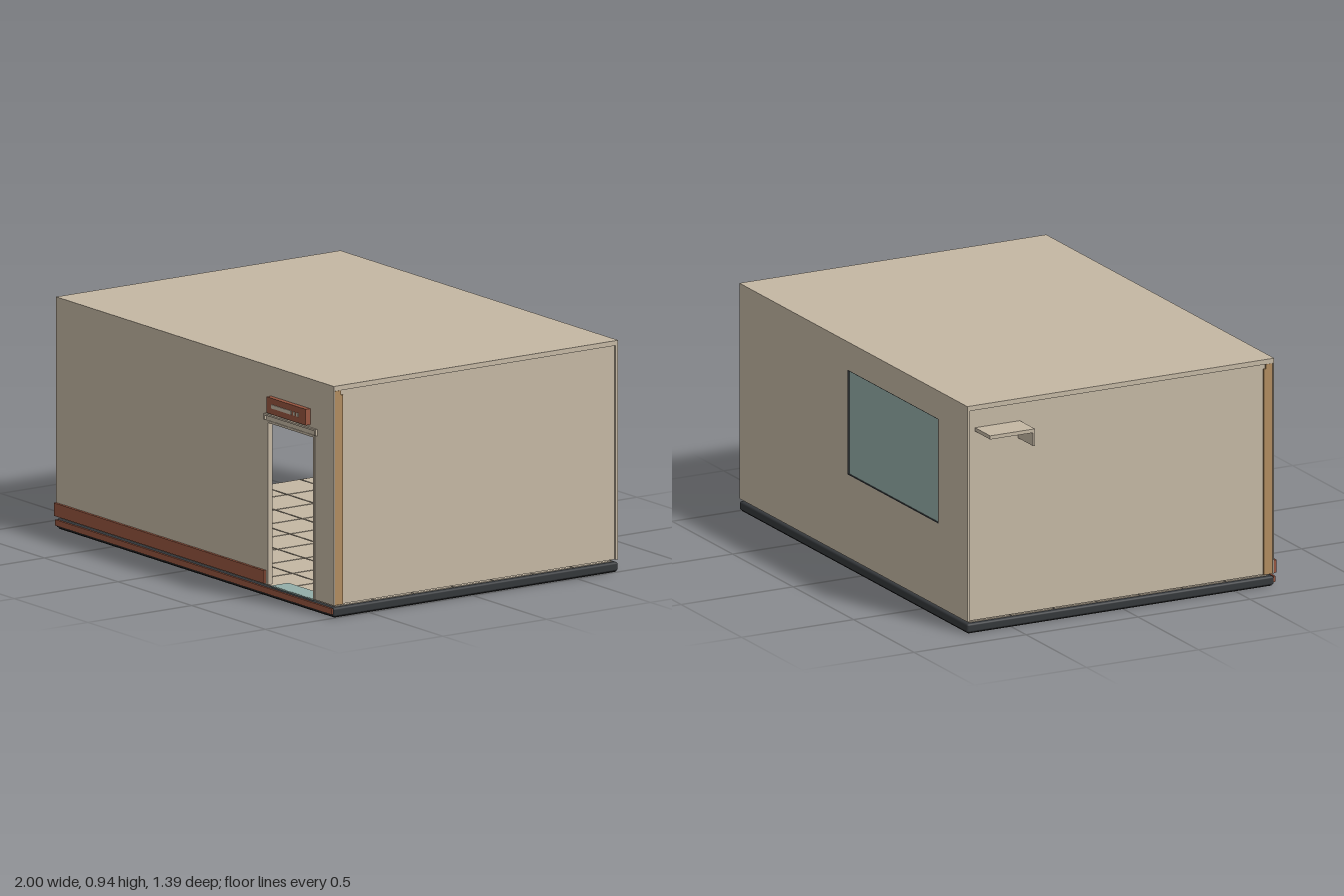
import * as THREE from 'three';
import { RoundedBoxGeometry } from 'three/addons/geometries/RoundedBoxGeometry.js';

const material = (name, color) => {
  const m = new THREE.MeshStandardMaterial({ color });
  m.name = name;
  return m;
};

export function createModel() {
  const model = new THREE.Group();
  const cream = material('cream plaster', 0xc4b7a3);
  const red = material('brick red', 0x96553f);
  const teal = material('teal glass', 0x93aea8);
  const dark = material('charcoal', 0x34373a);
  const black = material('underside black', 0x1e1e1e);
  const wood = material('wood', 0xb08b5f);

  const X0 = -0.885, X1 = 1, Z0 = -0.7, Z1 = 0.67, Y0 = 0.05, Y1 = 0.935;
  const midX = (X0 + X1) / 2, midZ = (Z0 + Z1) / 2;
  const inset = 0.01;

  const add = (name, geometry, mat, parent = model) => {
    const mesh = new THREE.Mesh(geometry, mat);
    mesh.name = name;
    parent.add(mesh);
    return mesh;
  };
  // Box given by its two extremes on every axis
  const box = (name, mat, x0, x1, y0, y1, z0, z1, parent = model) => {
    const mesh = add(name, new THREE.BoxGeometry(x1 - x0, y1 - y0, z1 - z0), mat, parent);
    mesh.position.set((x0 + x1) / 2, (y0 + y1) / 2, (z0 + z1) / 2);
    return mesh;
  };
  const rect = (Kind, x0, x1, y0, y1) => {
    const s = new Kind();
    s.moveTo(x0, y0).lineTo(x1, y0).lineTo(x1, y1).lineTo(x0, y1).closePath();
    return s;
  };
  const group = (name) => {
    const g = new THREE.Group();
    g.name = name;
    model.add(g);
    return g;
  };

  // Foundation with a red front band and black underside
  const base = add('foundation', new RoundedBoxGeometry(X1 - X0, 0.036, Z1 - Z0, 2, 0.008), dark);
  base.position.set(midX, 0.022, midZ);
  box('foundationUnderside', black, X0 + 0.008, X1 - 0.008, 0, 0.006, Z0 + 0.008, Z1 - 0.008);
  box('foundationFrontBand', red, X0 + 0.005, X1 - 0.005, 0.014, 0.038, Z1, Z1 + 0.008);

  // Floor tiles with dark joints
  const floor = group('floorTiles');
  const columns = 10, rows = 7, joint = 0.003;
  const tw = (X1 - X0 - 0.03) / columns, td = (Z1 - Z0 - 0.03) / rows;
  for (let i = 0; i < columns; i++) {
    for (let j = 0; j < rows; j++) {
      const x = X0 + 0.015 + i * tw, z = Z0 + 0.015 + j * td;
      box('floorTile', cream, x + joint, x + tw - joint, 0.039, 0.043, z + joint, z + td - joint, floor);
    }
  }

  // Front wall with doorway, back wall with window opening
  const front = rect(THREE.Shape, X0, X1, Y0, Y1);
  front.holes.push(rect(THREE.Path, 0.555, 0.865, Y0 + 0.0005, 0.71));
  add('frontWall', new THREE.ShapeGeometry(front), cream).position.z = Z1;

  const win = { x0: -0.645, x1: 0.105, y0: 0.39, y1: 0.82 };
  const back = rect(THREE.Shape, -X1, -X0, Y0, Y1);
  back.holes.push(rect(THREE.Path, -win.x1, -win.x0, win.y0, win.y1));
  const backWall = add('backWall', new THREE.ShapeGeometry(back), cream);
  backWall.rotation.y = Math.PI;
  backWall.position.z = Z0;

  // Window glass and dark reveal
  box('windowGlass', teal, win.x0, win.x1, win.y0, win.y1, Z0 + 0.006, Z0 + 0.01);
  for (const y of [win.y0, win.y1])
    box('windowRail', dark, win.x0, win.x1, y - 0.003, y + 0.003, Z0 + 0.001, Z0 + 0.01);
  for (const x of [win.x0, win.x1])
    box('windowStile', dark, x - 0.003, x + 0.003, win.y0, win.y1, Z0 + 0.001, Z0 + 0.01);

  // Recessed side walls, corner returns and wooden posts, mirrored
  for (const side of [1, -1]) {
    const edge = side > 0 ? X1 : X0;
    const wall = add('sideWall', new THREE.PlaneGeometry(Z1 - Z0, Y1 - Y0), cream);
    wall.rotation.y = side * Math.PI / 2;
    wall.position.set(edge - side * inset, (Y0 + Y1) / 2, midZ);
    const span = (d) => [Math.min(edge, edge - side * d), Math.max(edge, edge - side * d)];
    box('frontWallEnd', cream, ...span(inset + 0.002), Y0, Y1, Z1 - 0.006, Z1 - 0.0005);
    box('backWallEnd', cream, ...span(inset + 0.002), Y0, Y1, Z0 + 0.0005, Z0 + 0.012);
    const post = span(inset + 0.002).map((v) => v - side * 0.002);
    box('cornerPost', wood, ...post, Y0, 0.914, 0.635, 0.663);
    box('cornerPostTrim', wood, ...post, Y0, 0.895, 0.625, 0.635);
  }

  // Roof slab
  box('roof', cream, X0, X1, 0.915, Y1, Z0, Z1);

  // Front plinth
  box('frontPlinth', red, X0, 0.54, Y0 + 0.003, 0.105, Z1 - 0.002, Z1 + 0.011);

  // Door casing and bent canopy rail
  const doorway = group('doorway');
  for (const x of [0.548, 0.863])
    box('doorJamb', cream, x, x + 0.009, Y0, 0.71, Z1 - 0.02, Z1 + 0.003, doorway);
  box('doorInnerTrim', red, 0.85, 0.863, Y0, 0.71, Z1 - 0.035, Z1 - 0.02, doorway);
  box('doorHead', cream, 0.555, 0.865, 0.704, 0.713, Z1 - 0.02, Z1 + 0.003, doorway);
  box('canopyRail', cream, 0.535, 0.888, 0.733, 0.74, Z1, Z1 + 0.009, doorway);
  for (const x of [0.535, 0.881])
    box('canopyEnd', cream, x, x + 0.007, 0.714, 0.733, Z1, Z1 + 0.009, doorway);
  box('doorMat', teal, 0.565, 0.855, 0.042, 0.047, Z1 - 0.09, Z1 - 0.005, doorway);

  // Sign box with plain light strips
  const sign = group('signBox');
  box('signPanel', red, 0.575, 0.84, 0.75, 0.815, Z1, Z1 + 0.022, sign);
  for (const [a, b] of [[0.61, 0.745], [0.757, 0.768], [0.78, 0.79]])
    box('signStrip', cream, a, b, 0.775, 0.79, Z1 + 0.02, Z1 + 0.025, sign);

  // Small side ledge with a front lip
  box('sideLedge', cream, -1, X0 + inset, 0.825, 0.84, -0.66, -0.46);
  box('sideLedgeLip', cream, -1, X0 + inset, 0.77, 0.825, -0.468, -0.46);

  // Interior counter
  const counter = group('counter');
  box('counterBody', dark, 0.2, 0.615, 0.07, 0.32, -0.45, -0.08, counter);
  box('counterFoot', dark, 0.22, 0.6, 0.043, 0.07, -0.43, -0.1, counter);
  box('counterTop', wood, 0.18, 0.637, 0.32, 0.345, -0.47, -0.06, counter);

  // Interior display cabinet
  const cabinet = group('cabinet');
  box('cabinetBody', red, 0.737, 0.95, 0.043, 0.72, -0.67, -0.45, cabinet);
  box('cabinetFrame', dark, 0.738, 0.852, 0.338, 0.635, -0.45, -0.443, cabinet);
  box('cabinetGlass', teal, 0.75, 0.842, 0.352, 0.622, -0.443, -0.439, cabinet);
  box('cabinetLowerPanel', teal, 0.738, 0.85, 0.075, 0.235, -0.45, -0.445, cabinet);
  box('cabinetShelf', wood, 0.73, 0.765, 0.338, 0.35, -0.45, -0.41, cabinet);

  // Interior skirting along the back wall
  box('backSkirting', red, X0 + 0.02, X1 - 0.02, 0.053, 0.11, Z0 + 0.012, Z0 + 0.02);

  return model;
}
